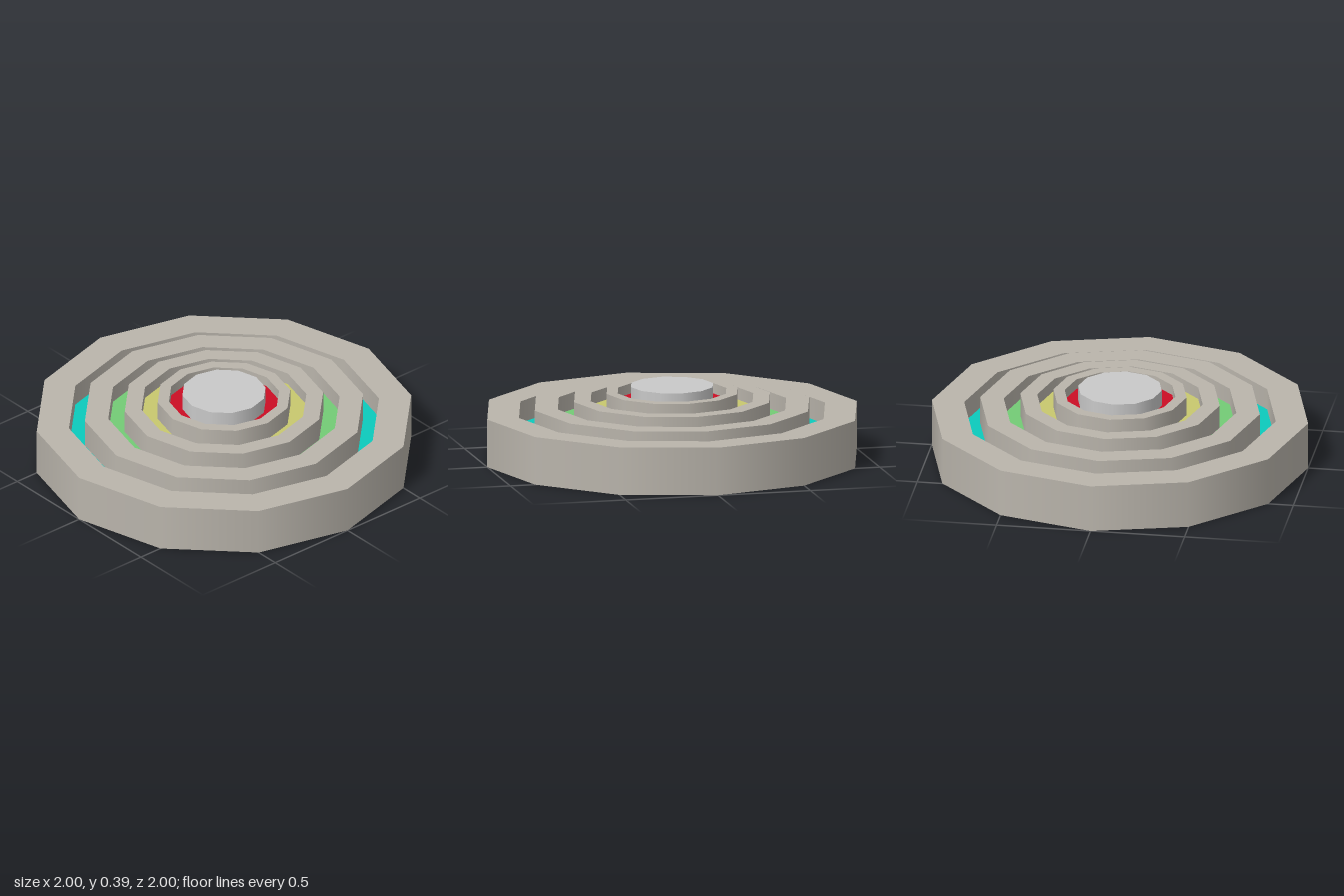
import * as THREE from 'three';
import { mergeGeometries } from 'three/addons/utils/BufferGeometryUtils.js';

const SIDES = 12;

// Turned surface with a hard edge at every profile corner, smooth around the axis
function turned(profile) {
  const bands = [];
  for (let i = 0; i + 1 < profile.length; i++) {
    const pair = [profile[i], profile[i + 1]].map(([r, y]) => new THREE.Vector2(r, y));
    bands.push(new THREE.LatheGeometry(pair, SIDES));
  }
  return mergeGeometries(bands);
}

function material(name, color) {
  const m = new THREE.MeshStandardMaterial({ color });
  m.name = name;
  return m;
}

export function createModel() {
  const group = new THREE.Group();
  group.name = 'steppedDisc';

  const stone = material('warm stone', 0xbab5ac);
  const hubGrey = material('light grey', 0xc9c9c9);

  const add = (name, profile, mat) => {
    const mesh = new THREE.Mesh(turned(profile), mat);
    mesh.name = name;
    group.add(mesh);
  };

  // Each step: outer and inner radius, top height, then the groove inside it
  const steps = [
    { outer: 1.0, inner: 0.828, top: 0.255, floor: 0.14, groove: 'teal', color: 0x0ccbbd },
    { outer: 0.743, inner: 0.618, top: 0.29, floor: 0.2, groove: 'green', color: 0x74cc76 },
    { outer: 0.53, inner: 0.44, top: 0.325, floor: 0.26, groove: 'yellow', color: 0xc8c86e },
    { outer: 0.354, inner: 0.294, top: 0.36, floor: 0.305, groove: 'red', color: 0xcc0e24 },
  ];
  const hubRadius = 0.222;
  const hubTop = 0.39;

  steps.forEach((s, i) => {
    // Raised ring: outer wall, top, inner wall
    const base = i === 0 ? 0 : steps[i - 1].floor;
    add(`ring${i + 1}`, [[s.outer, base], [s.outer, s.top], [s.inner, s.top], [s.inner, s.floor]], stone);
    // Coloured groove floor
    const next = i + 1 < steps.length ? steps[i + 1].outer : hubRadius;
    add(`${s.groove}Groove`, [[s.inner, s.floor], [next, s.floor]], material(s.groove, s.color));
  });

  // Flat underside around the hub
  add('underside', [[hubRadius, 0], [1, 0]], stone);

  // Central hub running through to the underside
  add('hub', [[0, 0], [hubRadius, 0], [hubRadius, hubTop], [0, hubTop]], hubGrey);

  return group;
}
